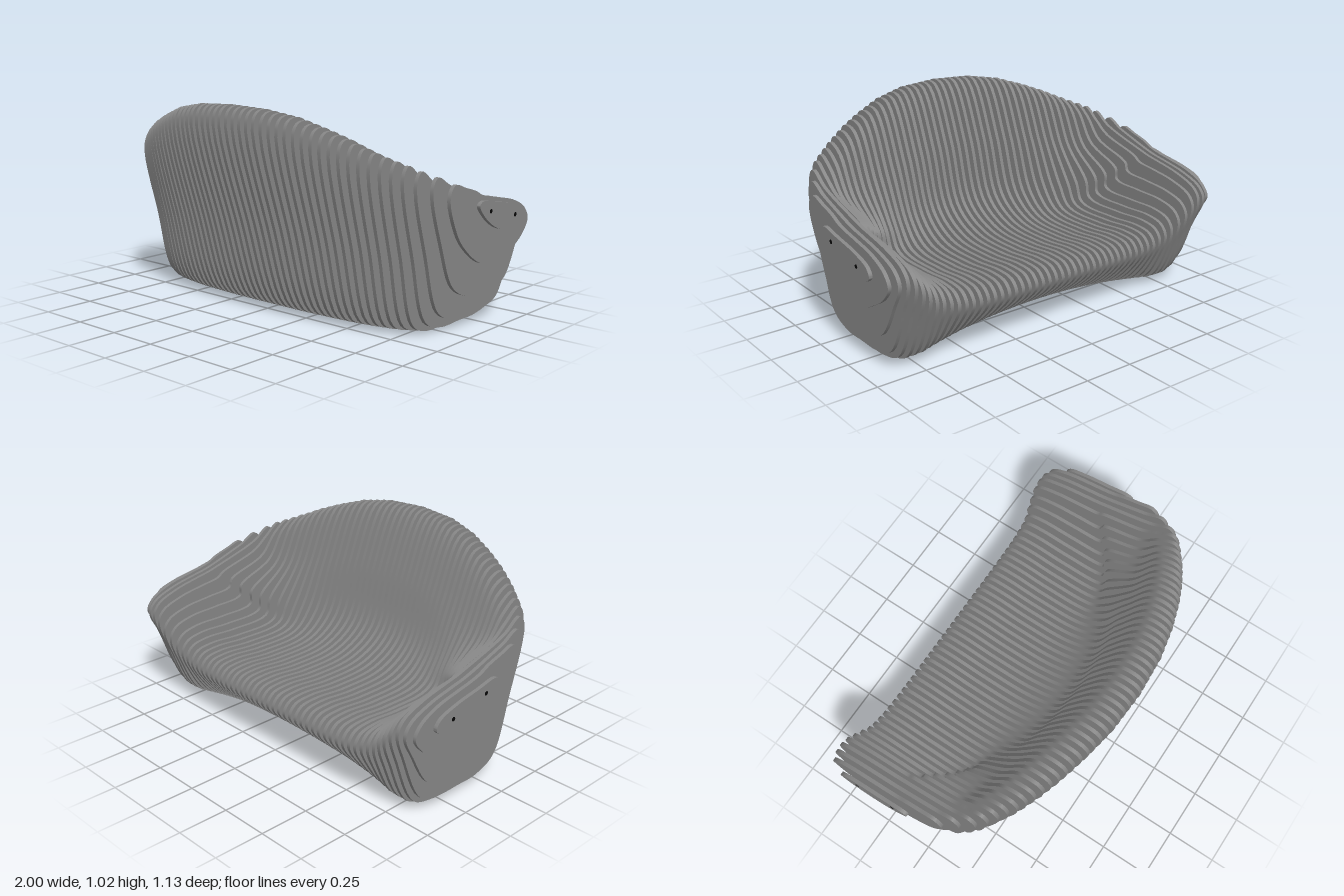
import * as THREE from 'three';
import { toCreasedNormals } from 'three/addons/utils/BufferGeometryUtils.js';

const SIDE_SLATS = 25, PITCH = 0.0396, THICK = 0.018;
const lerp = THREE.MathUtils.lerp;

// Per distance from the middle: [x, top y, rear z, bottom y, rear foot z, hollow (1 seat, 0 solid arm), nose z]
const STATIONS = [
  [0.00, 1.012, 0.565, 0.00, 0.280, 1.00, -0.540],
  [0.20, 1.003, 0.552, 0.00, 0.278, 1.00, -0.540],
  [0.36, 0.975, 0.518, 0.00, 0.270, 1.00, -0.540],
  [0.50, 0.930, 0.475, 0.00, 0.258, 0.97, -0.540],
  [0.60, 0.893, 0.435, 0.00, 0.240, 0.90, -0.540],
  [0.70, 0.850, 0.385, 0.00, 0.215, 0.70, -0.540],
  [0.79, 0.812, 0.325, 0.00, 0.165, 0.32, -0.560],
  [0.83, 0.795, 0.295, 0.015, 0.130, 0.12, -0.565],
  [0.87, 0.770, 0.255, 0.05, 0.090, 0.00, -0.565],
  [0.91, 0.740, 0.190, 0.145, 0.035, 0.00, -0.562],
  [0.95, 0.700, 0.115, 0.295, 0.000, 0.00, -0.545],
];

// Rounded outline of the small outermost slat, as [z, y]
const END_OUTLINE = [
  [-0.06, 0.59], [-0.085, 0.608], [-0.2, 0.59], [-0.34, 0.565], [-0.44, 0.53],
  [-0.463, 0.49], [-0.42, 0.458], [-0.33, 0.448], [-0.22, 0.465], [-0.12, 0.52],
];

function stationAt(x) {
  let i = 1;
  while (i < STATIONS.length - 1 && STATIONS[i][0] < x) i++;
  const a = STATIONS[i - 1], b = STATIONS[i];
  const t = Math.min(1, (x - a[0]) / (b[0] - a[0]));
  return a.map((v, k) => lerp(v, b[k], t));
}

// Side outline of a slat as [z, y]: underside, backrest, seat or armrest, nose
function slatOutline(x) {
  const [, top, rear, low, foot, d, nose] = stationAt(x);
  const mix = (arm, seat) => lerp(arm, seat, d);
  const raised = low / 0.29;
  const undercut = Math.max(0, 1 - (x / 0.72) ** 2);
  return [
    [-0.15 - 0.1 * raised + 0.16 * undercut, low],
    [foot - 0.13, low + 0.02 * raised],
    [foot - 0.01, low + 0.05 + 0.05 * raised],
    [lerp(foot, rear, 0.5), lerp(low, top, 0.45)],
    [rear, top - 0.06],
    [rear - 0.035, top - 0.004],
    [rear - 0.125, mix(0.675 + 0.27 * (rear - 0.12), top - 0.01)],
    [mix(rear - 0.2, rear - 0.26), mix(0.67 + 0.22 * (rear - 0.2), top - 0.28)],
    [mix(-0.14, rear - 0.365), mix(0.626, 0.43)],
    [mix(-0.2, 0.03), mix(0.61, 0.33)],
    [mix(-0.28, -0.22), mix(0.595, 0.312)],
    [-0.41, mix(0.567, 0.325)],
    [nose + 0.035, mix(0.518, 0.31)],
    [nose, mix(0.46, 0.255)],
    [mix(-0.53, -0.5) + 0.03 * raised + 0.05 * undercut, mix(0.31, 0.15) + 0.08 * raised],
    [-0.42 + 0.11 * undercut, low + 0.045 + 0.015 * undercut],
    [-0.3 - 0.04 * raised + 0.15 * undercut, low + 0.004],
  ];
}

function slatGeometry(outline) {
  const curve = new THREE.CatmullRomCurve3(
    outline.map(([z, y]) => new THREE.Vector3(-z, y, 0)), true, 'centripetal');
  const pts = curve.getPoints(96).slice(0, -1).map(p => new THREE.Vector2(p.x, Math.max(0, p.y)));
  const geo = new THREE.ExtrudeGeometry(new THREE.Shape(pts), { depth: THICK, bevelEnabled: false });
  geo.translate(0, 0, -THICK / 2).rotateY(Math.PI / 2);
  return toCreasedNormals(geo, 0.6);
}

export function createModel() {
  const model = new THREE.Group();
  model.name = 'slattedBench';
  const slatMaterial = new THREE.MeshStandardMaterial({ color: 0x868686 });
  const boltMaterial = new THREE.MeshStandardMaterial({ color: 0x060606 });
  const add = (name, geo, material, x, y = 0, z = 0) => {
    const mesh = new THREE.Mesh(geo, material);
    mesh.name = name;
    mesh.position.set(x, y, z);
    model.add(mesh);
  };

  // Slats, mirrored about the middle one
  for (let i = 0; i <= SIDE_SLATS; i++) {
    const x = i * PITCH;
    const geo = slatGeometry(i === SIDE_SLATS ? END_OUTLINE : slatOutline(x));
    const name = i === SIDE_SLATS ? 'endSlat' : x > 0.8 ? 'armSlat' : 'seatSlat';
    add(name, geo, slatMaterial, x);
    if (i > 0) add(name, geo, slatMaterial, -x);
  }

  // Two small dark bolts in each end slat
  const bolt = new THREE.CylinderGeometry(0.01, 0.01, 0.02, 16).rotateZ(Math.PI / 2);
  for (const side of [1, -1]) {
    for (const [z, y] of [[-0.15, 0.555], [-0.36, 0.51]]) add('bolt', bolt, boltMaterial, side * 0.99, y, z);
  }
  return model;
}
